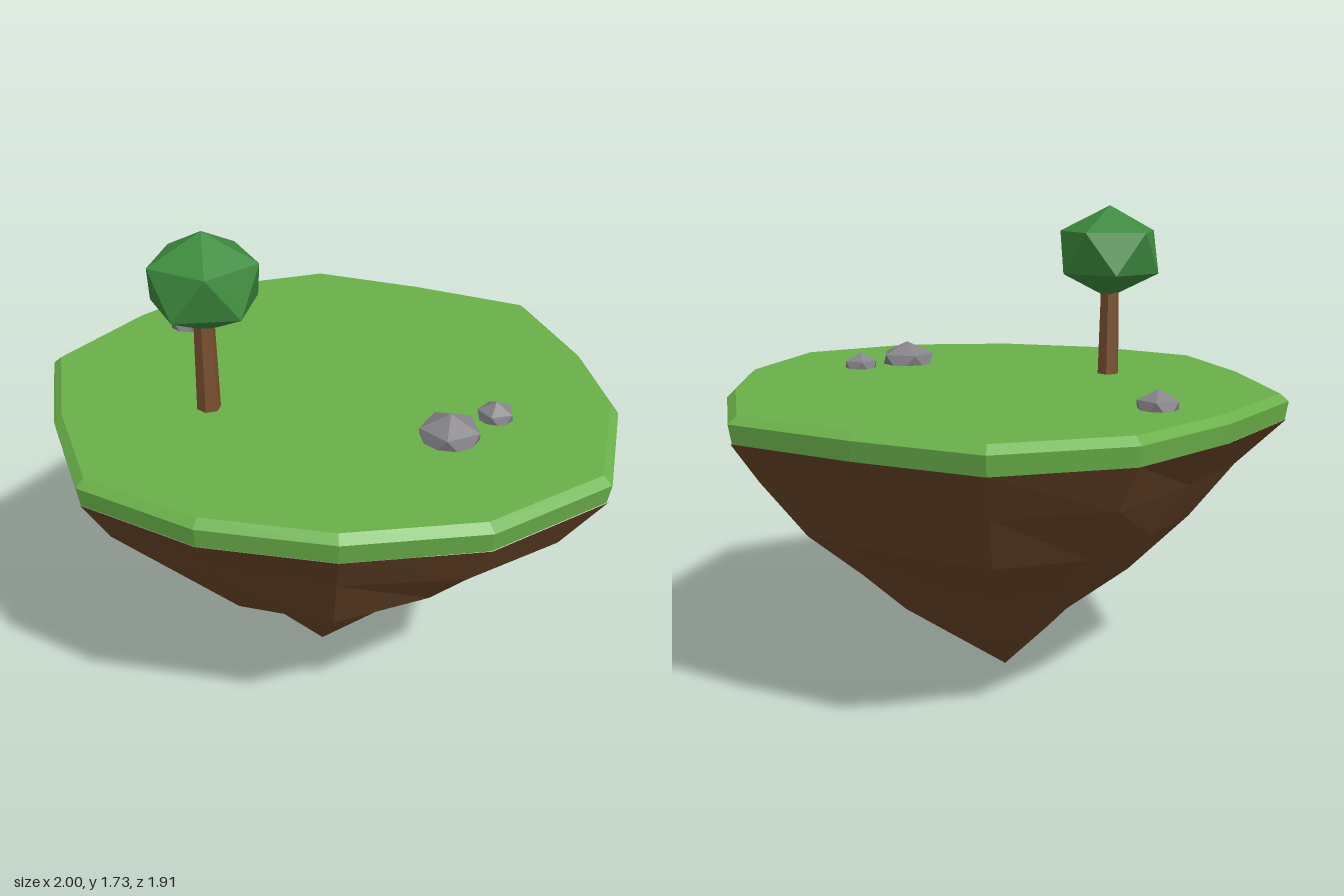
import * as THREE from 'three';

const mat = (name, color) => new THREE.MeshStandardMaterial({ name, color, flatShading: true });

// Island rim as [x, z], clockwise seen from above
const RIM = [
  [-0.21, -0.96], [0.22, -0.89], [0.66, -0.78], [0.87, -0.385], [1, 0.03], [0.97, 0.49], [0.64, 0.81],
  [0.22, 0.95], [-0.2, 0.95], [-0.605, 0.81], [-0.83, 0.44], [-1, 0.03], [-0.83, -0.385], [-0.605, -0.745],
];
const CENTRE_Z = 0.06;

// Rim shrunk about the island axis; scale may be one number or one per corner
function ring(scale, y) {
  return RIM.map(([x, z], i) => {
    const s = Array.isArray(scale) ? scale[i] : scale;
    const h = Array.isArray(y) ? y[i] : y;
    return new THREE.Vector3(x * s, h, CENTRE_Z + (z - CENTRE_Z) * s);
  });
}

// Faceted skin through rings listed from top to bottom
function loft(rings) {
  const pts = [];
  const tri = (a, b, c) => {
    if (a.equals(b) || b.equals(c) || a.equals(c)) return;
    pts.push(a, b, c);
  };
  for (let r = 0; r < rings.length - 1; r++) {
    const top = rings[r], low = rings[r + 1], n = top.length;
    for (let i = 0; i < n; i++) {
      const j = (i + 1) % n;
      tri(top[i], top[j], low[i]);
      tri(top[j], low[j], low[i]);
    }
  }
  const g = new THREE.BufferGeometry().setFromPoints(pts);
  g.computeVertexNormals();
  return g;
}

// Icosahedron standing on a point, squashed and turned
function blob(rx, ry, rz, turn) {
  return new THREE.IcosahedronGeometry(1, 0)
    .rotateZ(-Math.atan(1 / 1.618034))
    .rotateY(turn)
    .scale(rx, ry, rz);
}

export function createModel() {
  const group = new THREE.Group();
  const grass = mat('grass green', 0x6ab04a);
  const soil = mat('soil brown', 0x6b4629);
  const bark = mat('bark brown', 0x7a5030);
  const leaf = mat('leaf green', 0x3e8b3f);
  const stone = mat('stone grey', 0x868488);

  const add = (name, geometry, material, x = 0, y = 0, z = 0, parent = group) => {
    const mesh = new THREE.Mesh(geometry, material);
    mesh.name = name;
    mesh.position.set(x, y, z);
    parent.add(mesh);
    return mesh;
  };

  // Grass slab with a bevelled upper edge
  add('grassSlab', loft([
    ring(0, 1.115), ring(0.97, 1.115), ring(1, 1.09), ring(0.99, 1.025), ring(0, 1.025),
  ]), grass);

  // Rock and soil cone tapering to a point, uneven at each level
  add('soilUnderside', loft([
    ring(0.995, 1.027),
    ring([0.88, 0.86, 0.91, 0.86, 0.84, 0.86, 0.89, 0.9, 0.89, 0.9, 0.87, 0.83, 0.85, 0.88],
      [0.87, 0.86, 0.89, 0.88, 0.87, 0.82, 0.86, 0.88, 0.87, 0.87, 0.83, 0.86, 0.87, 0.86]),
    ring([0.73, 0.7, 0.76, 0.71, 0.69, 0.69, 0.7, 0.75, 0.73, 0.7, 0.69, 0.68, 0.7, 0.69],
      [0.66, 0.65, 0.68, 0.667, 0.64, 0.67, 0.66, 0.63, 0.635, 0.66, 0.65, 0.66, 0.67, 0.65]),
    ring([0.46, 0.48, 0.57, 0.5, 0.48, 0.5, 0.45, 0.41, 0.41, 0.46, 0.48, 0.47, 0.47, 0.46],
      [0.45, 0.46, 0.5, 0.47, 0.48, 0.49, 0.46, 0.47, 0.46, 0.45, 0.46, 0.44, 0.46, 0.45]),
    ring([0.25, 0.27, 0.41, 0.27, 0.22, 0.24, 0.24, 0.22, 0.22, 0.24, 0.25, 0.22, 0.24, 0.25],
      [0.215, 0.23, 0.335, 0.24, 0.22, 0.24, 0.24, 0.25, 0.26, 0.25, 0.24, 0.24, 0.23, 0.23]),
    RIM.map(() => new THREE.Vector3(0, 0, 0.077)),
  ]), soil);

  // Tree
  const tree = new THREE.Group();
  tree.name = 'tree';
  tree.position.set(-0.335, 1.115, 0.287);
  group.add(tree);
  add('trunk', new THREE.CylinderGeometry(0.034, 0.041, 0.36, 6), bark, -0.005, 0.165, 0.005, tree);
  add('foliage', blob(0.203, 0.166, 0.203, 0), leaf, 0, 0.446, 0, tree);

  // Half-buried stones: x, z, width radius, height radius, turn
  const stones = [
    [0.465, 0.335, 0.113, 0.08, -0.31],
    [0.6, 0.18, 0.068, 0.055, -0.5],
    [-0.6, -0.325, 0.078, 0.06, 0.35],
  ];
  stones.forEach(([x, z, r, h, turn], i) => {
    add(`stone${i + 1}`, blob(r, h, r, turn), stone, x, 1.118, z);
  });

  return group;
}
